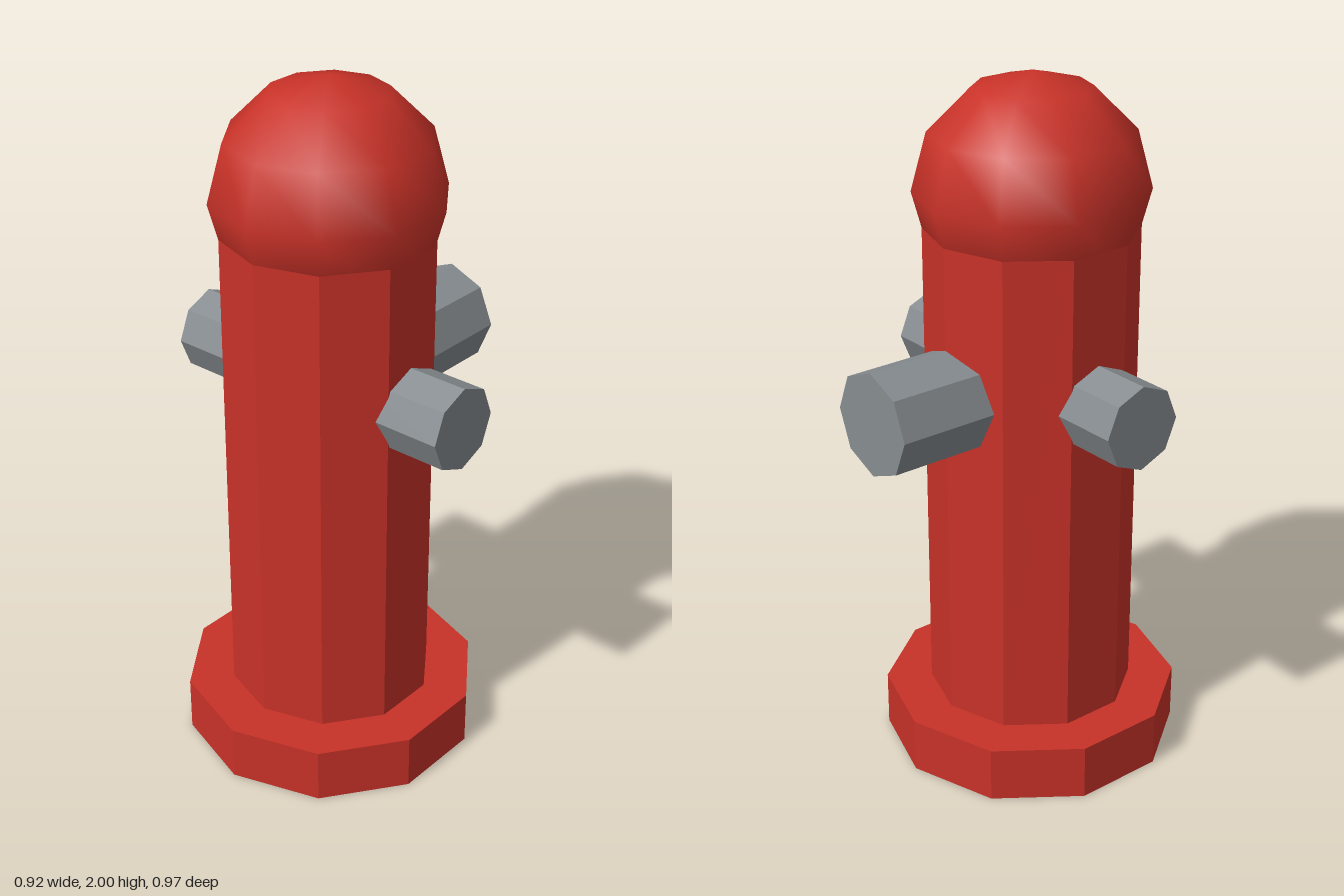
import * as THREE from 'three';

export function createModel() {
  const model = new THREE.Group();
  model.name = 'fireHydrant';
  const red = new THREE.MeshStandardMaterial({ color: 0xc83228 });
  red.name = 'red paint';
  const grey = new THREE.MeshStandardMaterial({ color: 0x868c90 });
  grey.name = 'grey metal';

  const axisZ = 0.054; // the barrel stands forward of centre to balance the rear outlet

  const add = (name, geometry, material, x, y, z) => {
    const mesh = new THREE.Mesh(geometry, material);
    mesh.name = name;
    mesh.position.set(x, y, z);
    model.add(mesh);
    return mesh;
  };

  // Faceted prism with hard edges
  const prism = (radius, length, sides) => {
    const geometry = new THREE.CylinderGeometry(radius, radius, length, sides).toNonIndexed();
    geometry.computeVertexNormals();
    return geometry;
  };

  // Base flange and barrel
  add('base', prism(0.43, 0.162, 10), red, 0, 0.081, axisZ);
  add('barrel', prism(0.297, 1.52, 10), red, 0, 0.86, axisZ);

  // Smooth-shaded dome, its lower part sunk into the barrel
  const dome = new THREE.SphereGeometry(0.324, 10, 6);
  dome.rotateY(Math.PI / 2);
  add('dome', dome, red, 0, 1.676, axisZ);

  // Matching side outlets
  for (const side of [1, -1]) {
    const outlet = prism(0.12, 0.3, 8).rotateZ(Math.PI / 2);
    add(side > 0 ? 'leftOutlet' : 'rightOutlet', outlet, grey, side * 0.31, 1.139, axisZ);
  }

  // Larger rear outlet
  add('rearOutlet', prism(0.149, 0.4, 8).rotateX(Math.PI / 2), grey, 0, 1.139, -0.287);

  return model;
}
